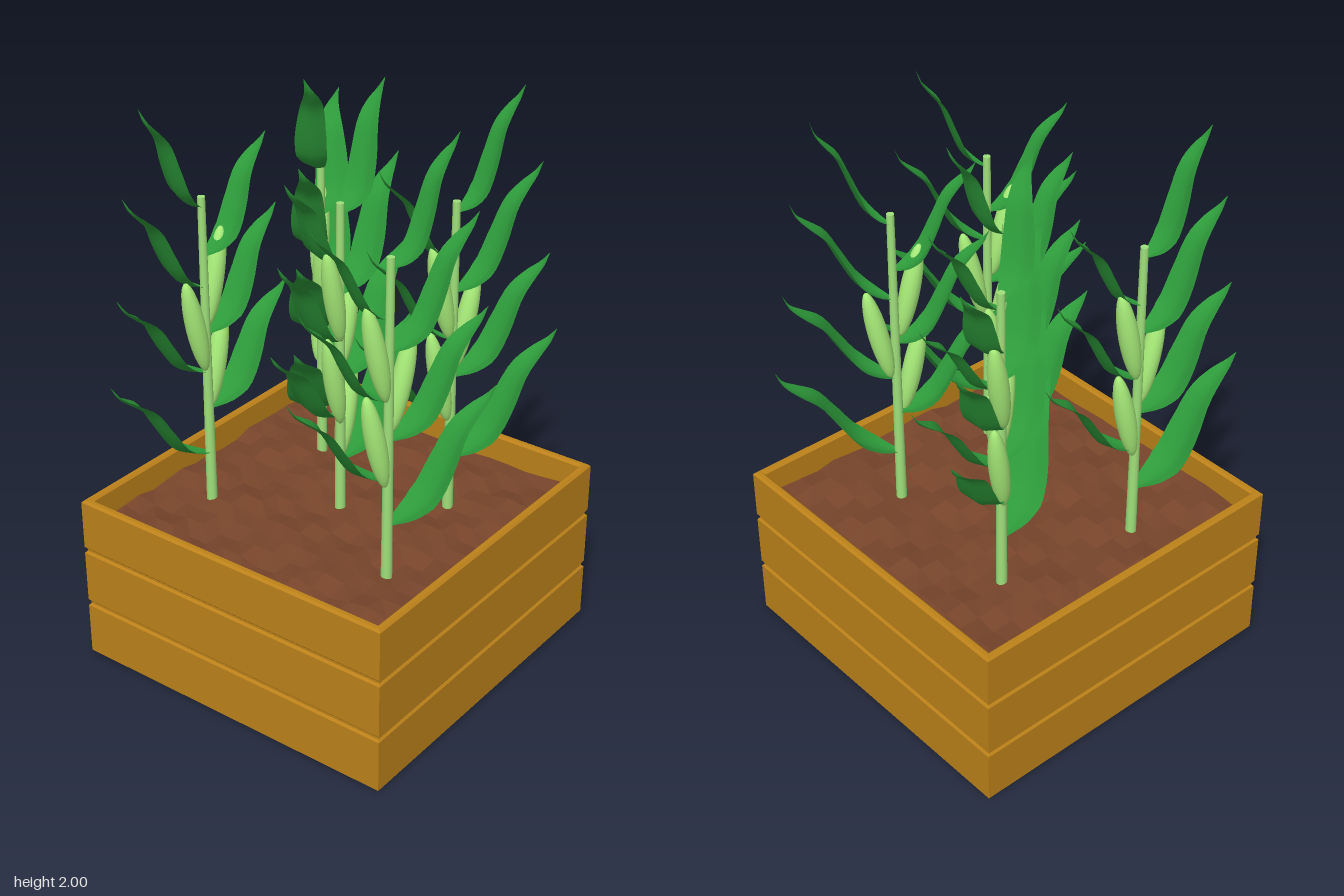
import * as THREE from 'three';

const mat = (color, extra = {}) => new THREE.MeshStandardMaterial({ color, ...extra });
const wood = mat(0xbd821a, { flatShading: true });
const earth = mat(0x78452b, { flatShading: true });
const stalkGreen = mat(0x9fe07a);
const earGreen = mat(0xa9ee7a);
const leafGreen = mat(0x2d9a3a, { side: THREE.DoubleSide });

function add(parent, name, geometry, material) {
  const mesh = new THREE.Mesh(geometry, material);
  mesh.name = name;
  parent.add(mesh);
  return mesh;
}

// Square planter: one wall profile swept round four sides, with a groove between planks
function makePlanter() {
  const h = 0.622, w = 0.621, b = 0.008;
  const profile = [[0, 0], [w - b, 0], [w, b]];
  for (const y of [0.21, 0.425]) {
    profile.push([w, y - 0.012], [w - 0.007, y - 0.004], [w - 0.007, y + 0.004], [w, y + 0.012]);
  }
  profile.push([w, h - b], [w - b, h], [w - 0.022, h], [w - 0.03, h - b], [w - 0.03, 0.48]);
  const points = profile.map(([x, y]) => new THREE.Vector2(x * Math.SQRT2, y));
  return new THREE.LatheGeometry(points, 4, Math.PI / 4);
}

// Soil: a grid with gentle lumps
function makeSoil() {
  const g = new THREE.PlaneGeometry(1.19, 1.19, 16, 16).rotateX(-Math.PI / 2);
  const p = g.attributes.position;
  for (let i = 0; i < p.count; i++) {
    const x = p.getX(i), z = p.getZ(i);
    const lump = Math.sin(x * 17 + z * 5) + Math.sin(z * 23 - x * 9) + Math.sin((x + 2 * z) * 31);
    p.setY(i, 0.525 + 0.006 * lump);
  }
  g.computeVertexNormals();
  return g;
}

// Leaf: a strip bent along an S-shaped midrib, folded along it and swaying sideways
const midrib = new THREE.CatmullRomCurve3([
  [0, 0], [0.18, 0.05], [0.37, 0.17], [0.55, 0.43], [0.69, 0.66], [0.84, 0.79], [0.95, 0.89], [1, 1],
].map(([x, y]) => new THREE.Vector3(x, y, 0)));
const halfWidths = [0.01, 0.045, 0.066, 0.068, 0.058, 0.045, 0.03, 0.014, 0.001];

function makeLeaf(reach, rise, widthScale) {
  const g = new THREE.PlaneGeometry(1, 1, 20, 4);
  const p = g.attributes.position;
  for (let i = 0; i < p.count; i++) {
    const t = p.getX(i) + 0.5, side = -2 * p.getY(i);
    const c = midrib.getPoint(t), tangent = midrib.getTangent(t);
    const k = Math.min(Math.floor(t * 8), 7);
    const w = widthScale * THREE.MathUtils.lerp(halfWidths[k], halfWidths[k + 1], t * 8 - k);
    const lift = 0.3 * w * Math.abs(side);
    p.setXYZ(i,
      c.x * reach - tangent.y * lift,
      c.y * rise + tangent.x * lift,
      side * w + 0.015 * Math.sin(2 * Math.PI * t));
  }
  g.computeVertexNormals();
  return g;
}

// side: 1 or -1 along the plant's own x; base and tip heights, horizontal reach, width scale
const leaves = [
  [1, 0.71, 1.11, 0.405, 1.08], [-1, 0.88, 1.25, 0.362, 1.0],
  [1, 1.02, 1.40, 0.36, 1.0], [-1, 1.16, 1.54, 0.32, 0.92],
  [1, 1.33, 1.73, 0.315, 0.9], [-1, 1.44, 1.80, 0.28, 0.85],
  [1, 1.61, 2.0, 0.235, 0.8],
];
// side, base height
const ears = [[-1, 0.87], [1, 1.04], [-1, 1.175]];
const lowEar = [1, 0.7];

const leafShapes = leaves.map(([, base, tip, reach, width]) => makeLeaf(reach, tip - base, width));
const stalkShape = new THREE.CylinderGeometry(0.013, 0.019, 1.15, 12).translate(0, 1.075, 0);
const earShape = new THREE.SphereGeometry(1, 14, 14).scale(0.034, 0.175, 0.034);

function makePlant(plantEars) {
  const plant = new THREE.Group();
  plant.name = 'cornPlant';
  add(plant, 'stalk', stalkShape, stalkGreen);
  leaves.forEach(([side, base], i) => {
    const leaf = add(plant, 'leaf', leafShapes[i], leafGreen);
    leaf.position.y = base;
    if (side < 0) leaf.rotation.y = Math.PI;
  });
  for (const [side, base] of plantEars) {
    const ear = add(plant, 'ear', earShape, earGreen);
    ear.position.set(side * 0.058, base + 0.17, -side * 0.018);
    ear.rotation.z = -side * 0.21;
  }
  return plant;
}

export function createModel() {
  const model = new THREE.Group();
  model.name = 'cornPlanter';
  add(model, 'planterBox', makePlanter(), wood);
  add(model, 'soil', makeSoil(), earth);

  // Plants: x, z, the x and z heading of their leaves, and their ears
  const plants = [
    [-0.225, -0.385, -0.4, -0.06, ears], [0.275, -0.29, -0.37, 0.17, ears],
    [0, 0, 1, 0, [...ears, lowEar]],
    [0.235, 0.285, 0.365, 0.185, ears], [-0.24, 0.37, 0.375, 0.155, ears],
  ];
  for (const [x, z, dx, dz, plantEars] of plants) {
    const plant = makePlant(plantEars);
    plant.position.set(x, 0, z);
    plant.rotation.y = Math.atan2(-dz, dx);
    model.add(plant);
  }
  return model;
}
